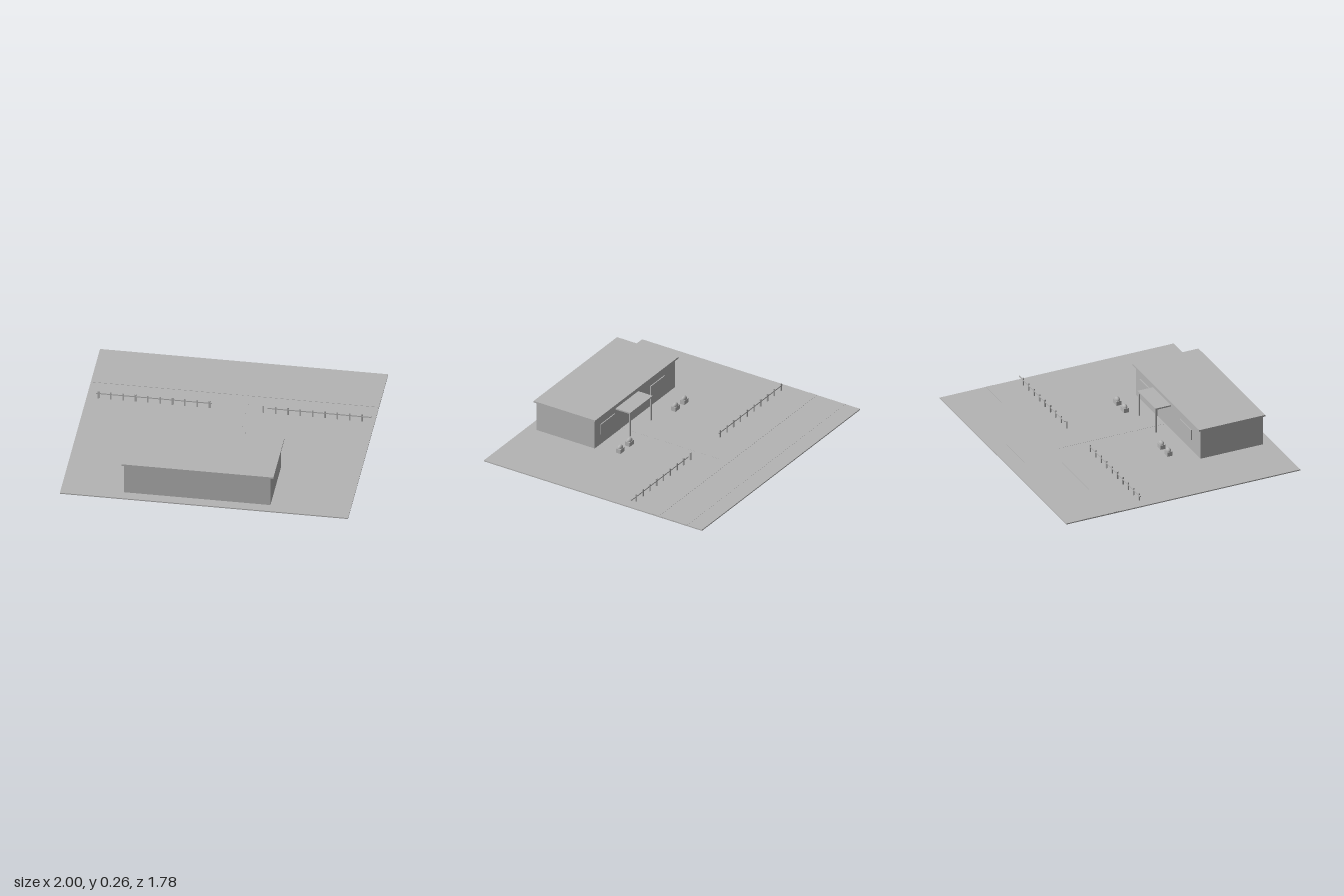
import * as THREE from 'three';

export function createModel() {
  const model = new THREE.Group();
  const grey = new THREE.MeshStandardMaterial({ color: 0xb4b4b4 });
  grey.name = 'plain grey';

  // Box given by its limits on each axis
  function box(name, [x0, x1], [y0, y1], [z0, z1], parent = model) {
    const mesh = new THREE.Mesh(new THREE.BoxGeometry(x1 - x0, y1 - y0, z1 - z0), grey);
    mesh.position.set((x0 + x1) / 2, (y0 + y1) / 2, (z0 + z1) / 2);
    mesh.name = name;
    parent.add(mesh);
    return mesh;
  }
  function group(name) {
    const g = new THREE.Group();
    g.name = name;
    model.add(g);
    return g;
  }

  // Ground with the thin paving laid on it
  const top = 0.02;
  box('ground', [-1, 1], [0.012, top], [-0.89, 0.89]);
  box('footpath', [-0.01, 0.11], [0.015, top + 0.0008], [-0.48, 0.335]);
  box('pavement', [-0.999, 0.999], [0.015, top + 0.002], [-0.54, -0.48]);
  box('road', [-0.999, 0.999], [0.015, top + 0.0008], [-0.77, -0.54]);

  // Hollow building with a doorway towards the road
  const building = group('building');
  const wallY = [0, 0.245];
  const t = 0.01;
  box('farWall', [-0.565, 0.45], wallY, [0.815 - t, 0.815], building);
  box('sideWallRight', [-0.565, -0.565 + t], wallY, [0.34, 0.815], building);
  box('sideWallLeft', [0.45 - t, 0.45], wallY, [0.34, 0.815], building);
  box('entranceWallRight', [-0.565, -0.005], wallY, [0.34, 0.34 + t], building);
  box('entranceWallLeft', [0.11, 0.45], wallY, [0.34, 0.34 + t], building);
  box('lintel', [-0.005, 0.11], [0.17, 0.245], [0.34, 0.34 + t], building);
  box('door', [-0.005, 0.11], [top, 0.17], [0.341, 0.348], building);
  box('roof', [-0.583, 0.472], [0.244, 0.256], [0.322, 0.825], building);
  for (const x of [-0.43, 0.2]) {
    box('window', [x, x + 0.18], [0.1, 0.178], [0.333, 0.341], building);
  }

  // Porch roof on two posts
  const porch = group('porch');
  box('porchRoof', [-0.1, 0.185], [0.2, 0.21], [0.222, 0.34], porch);
  for (const x of [-0.095, 0.17]) {
    box('porchPost', [x, x + 0.01], [top, 0.2], [0.225, 0.235], porch);
  }

  // Fence in two runs, leaving a gap for the path
  const runs = [
    { first: -0.917, count: 10, rail: [-0.935, -0.13] },
    { first: 0.227, count: 9, rail: [0.255, 0.975] },
  ];
  for (const { first, count, rail } of runs) {
    const fence = group('fence');
    box('fenceRail', rail, [0.055, 0.063], [-0.3, -0.293], fence);
    for (let i = 0; i < count; i++) {
      const x = first + i * 0.0856;
      box('fencePost', [x - 0.005, x + 0.005], [top, 0.076], [-0.301, -0.292], fence);
    }
  }

  // Planters with rounded shrubs
  for (const x of [-0.415, -0.305, 0.275, 0.392]) {
    const planter = group('planter');
    box('planterBox', [x - 0.027, x + 0.027], [top, 0.052], [0.15, 0.187], planter);
    const shrub = new THREE.Mesh(new THREE.SphereGeometry(1, 20, 12), grey);
    shrub.scale.set(0.024, 0.021, 0.017);
    shrub.position.set(x, 0.054, 0.168);
    shrub.name = 'shrub';
    planter.add(shrub);
  }

  return model;
}
